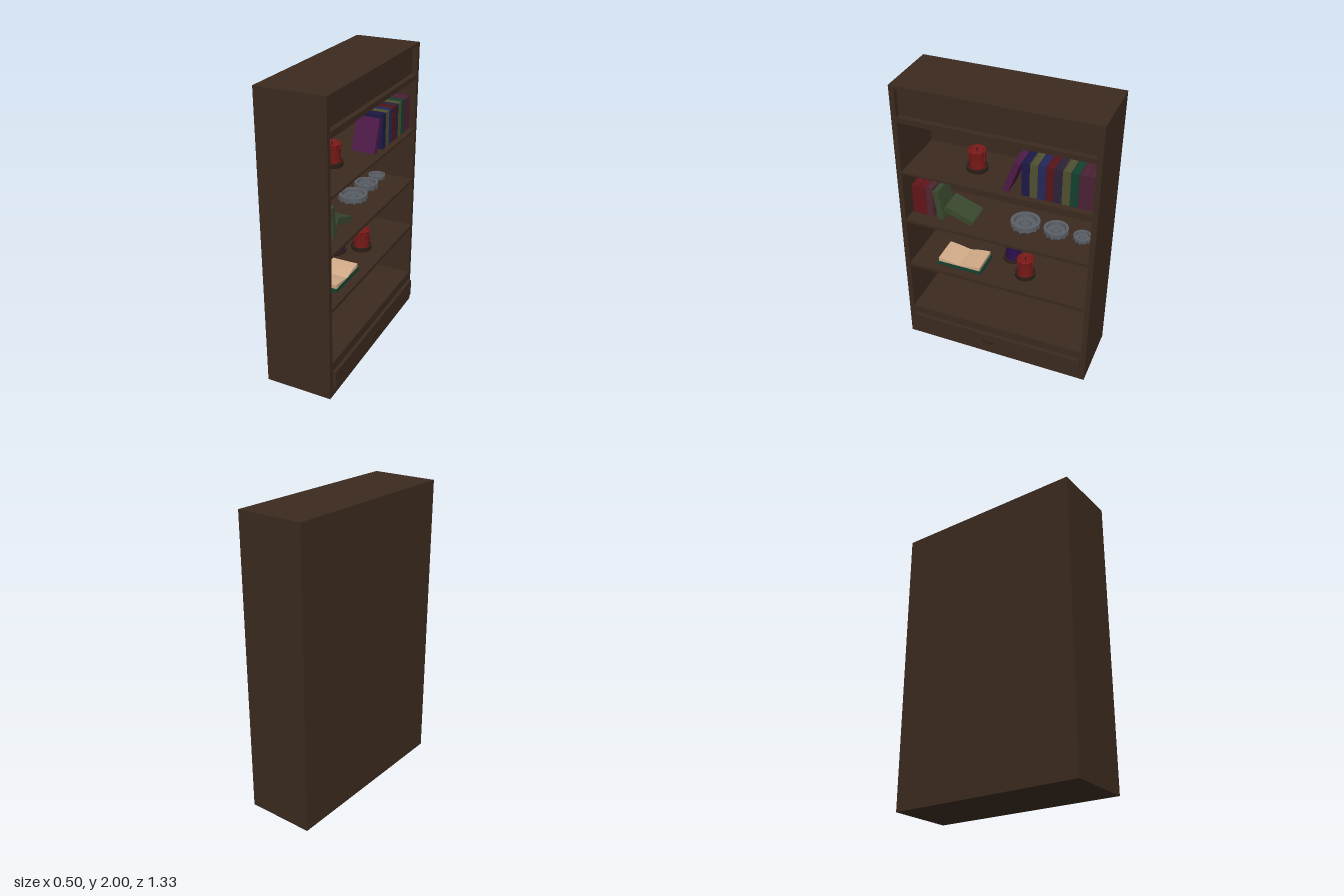
import * as THREE from 'three';
import { toCreasedNormals } from 'three/addons/utils/BufferGeometryUtils.js';

const mat = (color) => new THREE.MeshStandardMaterial({ color, side: THREE.DoubleSide });
const wood = mat(0x3b2a1e), darkWood = mat(0x2e2017), metal = mat(0x5a5f66);
const cream = mat(0xd2ab88), green = mat(0x14402f), wickMat = mat(0x1c1512);

function add(parent, name, geometry, material, x = 0, y = 0, z = 0) {
  const mesh = new THREE.Mesh(geometry, material);
  mesh.name = name;
  mesh.position.set(x, y, z);
  parent.add(mesh);
  return mesh;
}

// Box given by its limits on each axis
function block(parent, name, material, [x0, x1], [y0, y1], [z0, z1]) {
  const geometry = new THREE.BoxGeometry(x1 - x0, y1 - y0, z1 - z0);
  return add(parent, name, geometry, material, (x0 + x1) / 2, (y0 + y1) / 2, (z0 + z1) / 2);
}

// Turned shape with crisp edges
function turned(points) {
  const profile = points.map(([r, y]) => new THREE.Vector2(r, y));
  return toCreasedNormals(new THREE.LatheGeometry(profile, 28), 0.6);
}

function makeCase() {
  const g = new THREE.Group();
  g.name = 'bookcase';
  const X = [-0.25, 0.21], inner = [-0.63, 0.63];
  block(g, 'sidePanel', wood, X, [0, 2], [-0.665, -0.63]);
  block(g, 'sidePanel', wood, X, [0, 2], [0.63, 0.665]);
  block(g, 'backPanel', wood, [-0.25, -0.22], [0, 2], inner);
  block(g, 'topBoard', wood, X, [1.98, 2], inner);
  block(g, 'upperRail', wood, X, [1.755, 1.79], inner);
  block(g, 'recessedTopPanel', wood, [0.15, 0.175], [1.79, 1.98], inner);
  block(g, 'base', wood, X, [0, 0.255], inner);
  block(g, 'shelf', wood, [-0.22, 0.21], [1.385, 1.4], inner);
  block(g, 'shelf', wood, [-0.22, 0.21], [1.005, 1.025], inner);
  block(g, 'shelf', wood, [-0.22, 0.213], [0.632, 0.655], inner);
  // Drawer front and its pull
  block(g, 'drawerFront', wood, [0.21, 0.233], [0.065, 0.19], [-0.628, 0.625]);
  block(g, 'handleBar', darkWood, [0.243, 0.252], [0.126, 0.141], [0, 0.08]);
  for (const z of [0.002, 0.064]) {
    block(g, 'handlePost', darkWood, [0.233, 0.244], [0.128, 0.139], [z, z + 0.014]);
  }
  return g;
}

// Book: two covers, a spine facing +x and a page block; origin at its bottom centre
function makeBook(color, w, h, d) {
  const g = new THREE.Group();
  g.name = 'book';
  const m = mat(color), t = 0.006;
  for (const s of [-1, 1]) {
    add(g, 'cover', new THREE.BoxGeometry(d, h, t), m, 0, h / 2, s * (w - t) / 2);
  }
  add(g, 'spine', new THREE.BoxGeometry(t, h, w), m, (d - t) / 2, h / 2, 0);
  add(g, 'pages', new THREE.BoxGeometry(d - 0.012, h - 0.008, w - t), m, -0.002, h / 2, 0);
  return g;
}

function makeBookRow(name, colors, zStart, step, y, h, x, d) {
  const g = new THREE.Group();
  g.name = name;
  colors.forEach((color, i) => {
    const book = makeBook(color, step - 0.001, h, d);
    book.position.set(x, y, zStart - step * (i + 0.5));
    g.add(book);
  });
  return g;
}

function makeLeaningBook(color, w, h, d, angle) {
  const book = makeBook(color, w, h, d);
  book.name = 'leaningBook';
  book.rotation.x = angle;
  return book;
}

// Candle: dished holder, wax body with a melted rim, wick and drips
function makeCandle(color, top, sink) {
  const g = new THREE.Group();
  g.name = 'candle';
  const wax = mat(color), r = 0.054;
  add(g, 'holder', turned([[0, -sink], [0.06, -sink], [0.071, 0.008], [0.071, 0.03],
    [0.063, 0.03], [0.06, 0.02], [0, 0.02]]), darkWood);
  add(g, 'wax', turned([[r, 0.015], [r, top - 0.012], [r + 0.004, top - 0.006], [r, top],
    [r - 0.008, top], [r - 0.014, top - 0.012], [0, top - 0.014]]), wax);
  add(g, 'wick', new THREE.CylinderGeometry(0.003, 0.003, 0.02, 6), wickMat, 0, top - 0.004, 0);
  for (let i = 0; i < 9; i++) {
    const a = i * Math.PI * 2 / 9, len = 0.02 + 0.015 * ((i * 5) % 4);
    add(g, 'drip', new THREE.CapsuleGeometry(0.006, len, 3, 8), wax,
      Math.cos(a) * r, top - 0.01 - len / 2, Math.sin(a) * r);
  }
  return g;
}

// Metal dish: outer ring with ribs, sunken floor, raised hub
function makeDish(r, h) {
  const g = new THREE.Group();
  g.name = 'metalDish';
  add(g, 'dishBody', turned([[0, 0], [r * 0.9, 0], [r * 0.95, h * 0.15], [r * 0.95, h * 0.8],
    [r, h * 0.85], [r, h], [r * 0.78, h], [r * 0.74, h * 0.4], [r * 0.4, h * 0.4],
    [r * 0.36, h * 0.8], [r * 0.2, h * 0.8], [r * 0.17, h * 0.5], [0, h * 0.5]]), metal);
  for (let i = 0; i < 12; i++) {
    const a = i * Math.PI / 6;
    const rib = add(g, 'rib', new THREE.BoxGeometry(r * 0.06, h * 0.85, r * 0.16), metal,
      Math.cos(a) * r * 0.96, h * 0.45, Math.sin(a) * r * 0.96);
    rib.rotation.y = -a;
  }
  return g;
}

// Open book: flat cover, two page blocks rising toward the outer edges
function makeOpenBook() {
  const g = new THREE.Group();
  g.name = 'openBook';
  block(g, 'cover', green, [-0.105, 0.105], [0, 0.022], [-0.163, 0.163]);
  for (const s of [-1, 1]) {
    const shape = new THREE.Shape();
    shape.moveTo(0, 0.02);
    shape.lineTo(s * 0.15, 0.02);
    shape.lineTo(s * 0.153, 0.05);
    shape.quadraticCurveTo(s * 0.07, 0.043, 0, 0.024);
    const geometry = new THREE.ExtrudeGeometry(shape,
      { depth: 0.196, bevelEnabled: false, curveSegments: 6 });
    geometry.translate(0, 0, -0.098);
    add(g, 'pages', geometry, cream).rotation.y = Math.PI / 2;
  }
  return g;
}

export function createModel() {
  const root = new THREE.Group();
  root.name = 'bookcaseWithContents';
  const place = (object, x, y, z) => {
    object.position.set(x, y, z);
    root.add(object);
  };
  root.add(makeCase());

  // Upper shelf
  const upperColors = [0x1e1846, 0x4f4f30, 0x24285a, 0x561519, 0x2c2238, 0x4f4f30,
    0x14402f, 0x4a2233, 0x4a2233];
  root.add(makeBookRow('upperBooks', upperColors, -0.169, 0.051, 1.403, 0.235, 0.09, 0.16));
  place(makeLeaningBook(0x4d1a47, 0.04, 0.228, 0.16, -0.34), 0.09, 1.408, -0.063);
  place(makeCandle(0x7a1a18, 0.147, 0.02), -0.005, 1.402, 0.197);

  // Middle shelf
  const middleColors = [0x621518, 0x621518, 0x4f2630];
  root.add(makeBookRow('middleBooks', middleColors, 0.622, 0.05, 1.002, 0.244, 0.02, 0.18));
  place(makeLeaningBook(0x3a482f, 0.043, 0.216, 0.17, 0.15), 0.04, 1.028, 0.412);
  place(makeLeaningBook(0x3a482f, 0.042, 0.21, 0.17, 1.22), 0.04, 1.05, 0.187);
  for (const [z, r, h] of [[-0.13, 0.098, 0.042], [-0.342, 0.082, 0.042], [-0.52, 0.06, 0.03]]) {
    place(makeDish(r, h), -0.02, 1.03, z);
  }

  // Lower shelf
  place(makeOpenBook(), 0.045, 0.655, 0.288);
  place(makeCandle(0x2e1250, 0.158, 0), -0.095, 0.658, -0.02);
  place(makeCandle(0x7a1a18, 0.148, 0.028), 0.035, 0.656, -0.155);
  return root;
}
